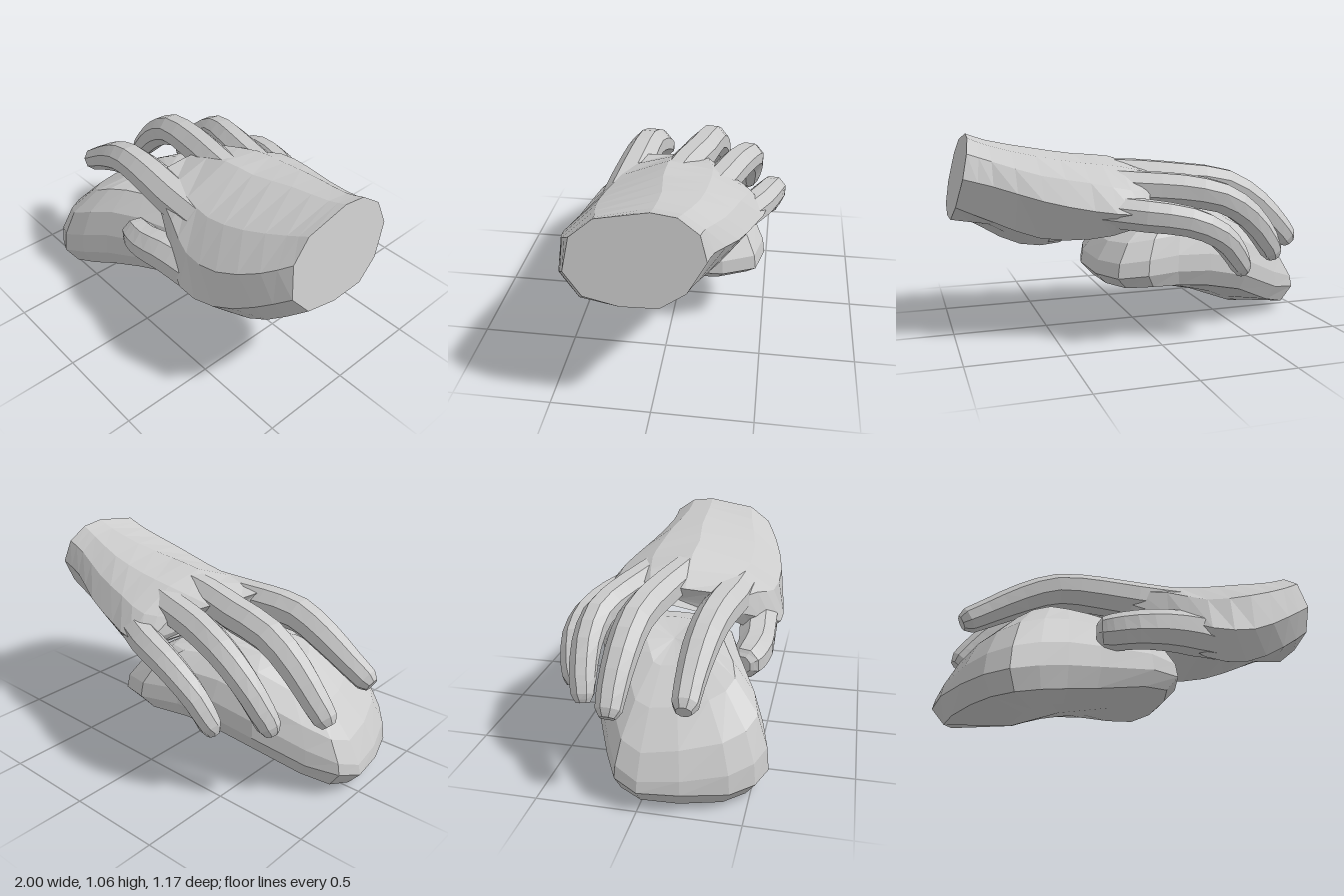
import * as THREE from 'three';

const material = new THREE.MeshStandardMaterial({ color: 0xcccccc, flatShading: true });
const { clamp } = THREE.MathUtils;

// Skin a list of closed rings (arrays of Vector3) and cap both ends with fans.
function loft(name, rings) {
  const n = rings[0].length;
  const points = rings.flat();
  const faces = [];
  for (let r = 0; r < rings.length - 1; r++) {
    for (let i = 0; i < n; i++) {
      const j = (i + 1) % n;
      const a = r * n + i, b = r * n + j, c = a + n, d = b + n;
      faces.push([a, b, d], [a, d, c]);
    }
  }
  [0, rings.length - 1].forEach((r, end) => {
    const centre = new THREE.Vector3();
    rings[r].forEach((p) => centre.addScaledVector(p, 1 / n));
    const k = points.push(centre) - 1;
    for (let i = 0; i < n; i++) {
      const a = r * n + i, b = r * n + (i + 1) % n;
      faces.push(end ? [k, a, b] : [k, b, a]);
    }
  });
  // Turn the faces outward if the enclosed volume comes out negative.
  const cross = new THREE.Vector3();
  const volume = faces.reduce((sum, [a, b, c]) =>
    sum + points[a].dot(cross.crossVectors(points[b], points[c])), 0);
  if (volume < 0) faces.forEach((f) => f.reverse());

  const geometry = new THREE.BufferGeometry().setFromPoints(points);
  geometry.setIndex(faces.flat());
  geometry.computeVertexNormals();
  const mesh = new THREE.Mesh(geometry, material);
  mesh.name = name;
  return mesh;
}

// Piecewise-linear lookup in [x, y] pairs.
function lookup(table, x) {
  if (x <= table[0][0]) return table[0][1];
  for (let i = 1; i < table.length; i++) {
    const [x0, y0] = table[i - 1], [x1, y1] = table[i];
    if (x <= x1) return y0 + (y1 - y0) * (x - x0) / (x1 - x0);
  }
  return table[table.length - 1][1];
}

// Tapered finger: eight-sided rings along a curve; each stop is [x, y, z, radius].
function finger(name, stops) {
  const curve = new THREE.CatmullRomCurve3(stops.map((s) => new THREE.Vector3(s[0], s[1], s[2])));
  const radii = stops.map((s, i) => [i / (stops.length - 1), s[3]]);
  const steps = (stops.length - 1) * 2, sides = 8, rings = [];
  for (let s = 0; s <= steps; s++) {
    const t = s / steps;
    const centre = curve.getPoint(t), tangent = curve.getTangent(t);
    const side = new THREE.Vector3(0, 1, 0).cross(tangent).normalize();
    const up = tangent.clone().cross(side);
    const radius = lookup(radii, t);
    rings.push(Array.from({ length: sides }, (_, i) => {
      const a = ((i + 0.5) / sides) * Math.PI * 2;
      return centre.clone()
        .addScaledVector(side, Math.cos(a) * radius)
        .addScaledVector(up, Math.sin(a) * radius);
    }));
  }
  return loft(name, rings);
}

// Pillow-shaped stone: a plan outline scaled between a sloping base and a domed top.
function stone() {
  const outline = [
    [-1, 0], [-0.97, 0.2], [-0.89, 0.42], [-0.8, 0.53], [-0.69, 0.58], [-0.55, 0.54],
    [-0.4, 0.47], [-0.22, 0.4], [0.08, 0.31], [0.25, 0.2], [0.3, 0], [0.29, -0.28],
    [0.22, -0.45], [0.07, -0.49], [-0.12, -0.41], [-0.32, -0.37], [-0.55, -0.32],
    [-0.8, -0.2], [-0.95, -0.12],
  ];
  const base = [[-1, 0.07], [-0.88, 0.005], [-0.68, 0.03], [-0.4, 0.12], [0, 0.23], [0.3, 0.3]];
  const top = [[-1, 0.28], [-0.9, 0.41], [-0.72, 0.5], [-0.45, 0.64], [-0.25, 0.66], [0, 0.65], [0.3, 0.59]];
  const levels = [[0.4, 0], [0.9, 0], [1, 0.2], [0.98, 0.44], [0.88, 0.72], [0.65, 0.93], [0.35, 1]];
  const cx = -0.35, cz = 0.03;
  return loft('stone', levels.map(([scale, h]) => outline.map(([px, pz]) => {
    const x = cx + (px - cx) * scale, z = cz + (pz - cz) * scale;
    const lift = 0.45 * Math.max(0, -z) * clamp((0.3 - x) / 0.8, 0, 1); // undercut back edge
    const y0 = lookup(base, x) + lift, y1 = lookup(top, x);
    return new THREE.Vector3(x, y0 + (y1 - y0) * h, z);
  })));
}

// Back of the hand and hollow palm: [z, y] sections from the cut wrist to the web of the fingers.
function palm() {
  const sections = [
    [0.95, [.3, .67, .39, .78, .36, .94, .25, 1.03, 0, 1.075, -.12, 1.06, -.22, .99, -.255, .87, -.17, .72, -.05, .64, .13, .635]],
    [0.8, [.37, .52, .46, .66, .43, .85, .27, .98, 0, 1.04, -.13, 1.02, -.23, .95, -.275, .83, -.18, .64, -.01, .6, .16, .57]],
    [0.57, [.38, .4, .51, .53, .49, .74, .32, .9, 0, .995, -.18, .965, -.3, .88, -.37, .76, -.22, .55, .05, .56, .22, .47]],
    [0.33, [.4, .39, .52, .5, .47, .69, .33, .84, .03, .955, -.2, .925, -.36, .84, -.44, .71, -.33, .55, 0, .63, .25, .51]],
    [0.13, [.36, .52, .42, .59, .4, .74, .29, .83, .03, .935, -.2, .9, -.39, .8, -.49, .69, -.4, .6, -.03, .69, .25, .61]],
    [-0.16, [.25, .69, .28, .73, .28, .77, .22, .82, .05, .83, -.15, .84, -.31, .79, -.44, .69, -.38, .66, -.06, .74, .16, .7]],
  ];
  const rings = sections.map(([x, flat], s) => {
    const ring = [];
    for (let i = 0; i < flat.length; i += 2) {
      const z = flat[i], y = flat[i + 1];
      let px = x;
      if (s === 0) px = 0.9 + (1.075 - y) * 0.22; // slanted wrist cut
      if (s === 5) px += clamp((-0.1 - z) * 0.8, 0, 0.2); // receding outer web
      ring.push(new THREE.Vector3(px, y, z));
    }
    return ring;
  });
  // Smooth lengthwise curves through the matching points of every section.
  const strands = rings[0].map((_, i) => new THREE.CatmullRomCurve3(rings.map((r) => r[i])).getPoints(10));
  return loft('palm', strands[0].map((_, s) => strands.map((strand) => strand[s])));
}

export function createModel() {
  const model = new THREE.Group();
  model.name = 'handOnStone';
  const hand = new THREE.Group();
  hand.name = 'hand';
  hand.add(
    palm(),
    finger('indexFinger', [
      [0.24, 0.735, 0.28, 0.1], [0, 0.735, 0.265, 0.107], [-0.2, 0.75, 0.25, 0.104], [-0.42, 0.75, 0.235, 0.096],
      [-0.6, 0.685, 0.215, 0.088], [-0.77, 0.59, 0.205, 0.074], [-0.87, 0.53, 0.205, 0.066], [-0.905, 0.51, 0.205, 0.04]]),
    finger('middleFinger', [
      [0.22, 0.84, 0.01, 0.09], [0, 0.83, -0.03, 0.095], [-0.25, 0.805, -0.09, 0.098], [-0.5, 0.77, -0.13, 0.092],
      [-0.68, 0.66, -0.15, 0.085], [-0.81, 0.53, -0.16, 0.075], [-0.87, 0.46, -0.16, 0.066], [-0.895, 0.43, -0.16, 0.04]]),
    finger('ringFinger', [
      [0.26, 0.81, -0.18, 0.09], [0.04, 0.79, -0.24, 0.093], [-0.18, 0.775, -0.3, 0.092], [-0.38, 0.735, -0.36, 0.084],
      [-0.53, 0.635, -0.375, 0.077], [-0.64, 0.5, -0.365, 0.07], [-0.68, 0.43, -0.355, 0.062], [-0.695, 0.39, -0.35, 0.038]]),
    finger('littleFinger', [
      [0.28, 0.7, -0.34, 0.085], [0.06, 0.675, -0.44, 0.086], [-0.14, 0.645, -0.5, 0.08], [-0.3, 0.57, -0.52, 0.073],
      [-0.39, 0.47, -0.51, 0.066], [-0.43, 0.4, -0.5, 0.058], [-0.445, 0.355, -0.49, 0.036]]),
    finger('thumb', [
      [0.42, 0.5, 0.38, 0.1], [0.28, 0.515, 0.395, 0.115], [0.1, 0.51, 0.41, 0.108], [-0.05, 0.485, 0.42, 0.1],
      [-0.16, 0.465, 0.4, 0.095], [-0.21, 0.46, 0.385, 0.085], [-0.24, 0.46, 0.375, 0.05]]),
  );
  model.add(stone(), hand);
  return model;
}
